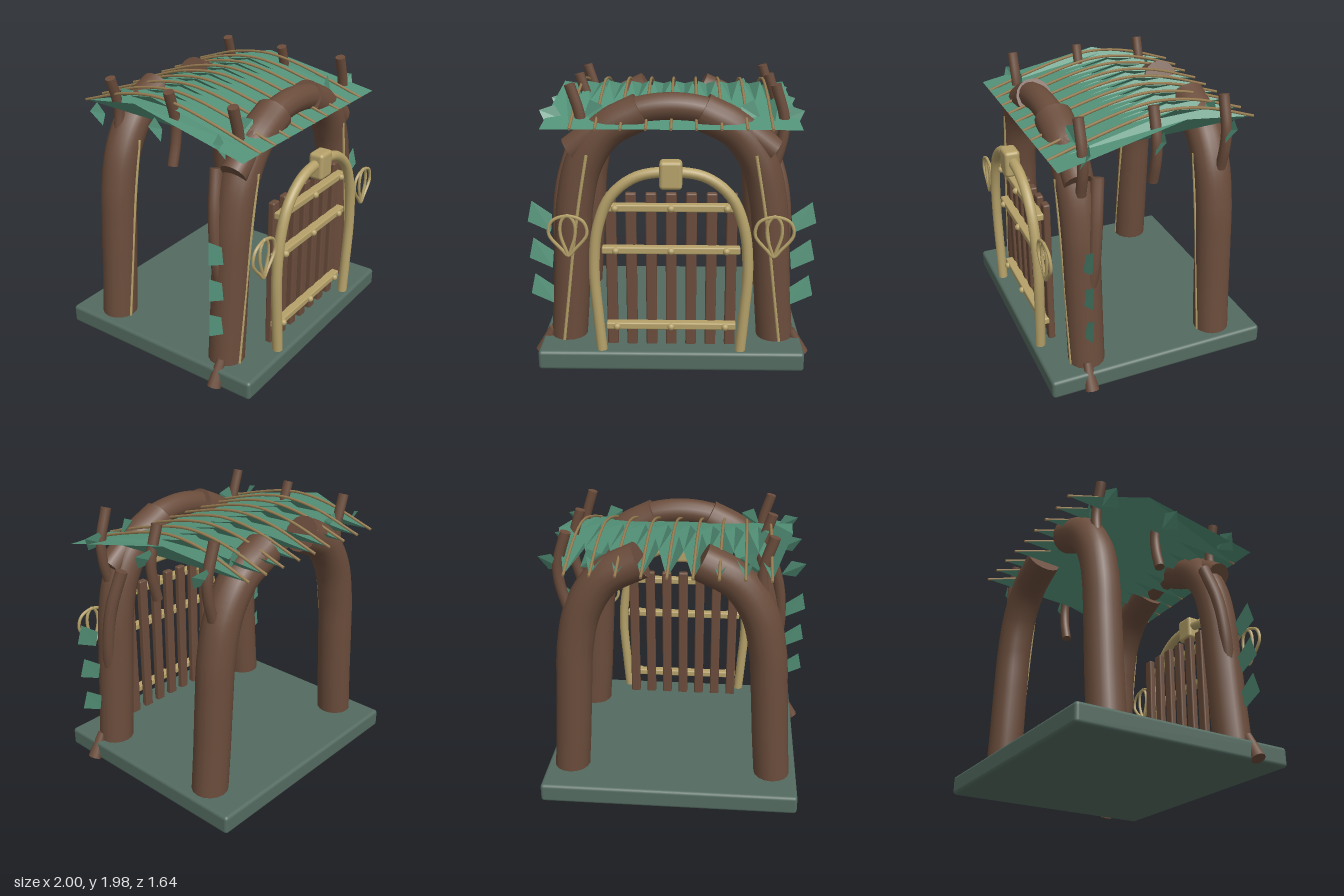
import * as THREE from 'three';
import { RoundedBoxGeometry } from 'three/addons/geometries/RoundedBoxGeometry.js';

const mat = (name, color, side = THREE.FrontSide) => {
  const m = new THREE.MeshStandardMaterial({ color, side });
  m.name = name;
  return m;
};

export function createModel() {
  const wood = mat('bark brown', 0x6a4c3b);
  const gold = mat('pale gold', 0xb5a169);
  const cane = mat('cane brown', 0x987d52);
  const stone = mat('grey green stone', 0x546b61);
  const leaf = mat('leaf green', 0x54937a, THREE.DoubleSide);
  const model = new THREE.Group();

  const add = (name, geo, m, x = 0, y = 0, z = 0) => {
    const mesh = new THREE.Mesh(geo, m);
    mesh.name = name;
    mesh.position.set(x, y, z);
    model.add(mesh);
    return mesh;
  };
  const V = (p) => new THREE.Vector3(...p);

  // Smooth tube through points, with flat caps on open ends
  const tube = (name, pts, r, m, sides = 10, segs = 24, closed = false) => {
    const curve = new THREE.CatmullRomCurve3(pts.map(V), closed, 'centripetal');
    const mesh = add(name, new THREE.TubeGeometry(curve, segs, r, sides, closed), m);
    if (!closed) for (const t of [0, 1]) {
      const cap = new THREE.Mesh(new THREE.CircleGeometry(r, sides), m);
      cap.name = name + 'End';
      const dir = curve.getTangentAt(t).multiplyScalar(t ? 1 : -1);
      cap.position.copy(curve.getPointAt(t));
      cap.quaternion.setFromUnitVectors(new THREE.Vector3(0, 0, 1), dir);
      mesh.add(cap);
    }
    return mesh;
  };

  // Thin surface from a fan of triangles
  const fan = (name, pts, tris) => {
    const geo = new THREE.BufferGeometry();
    geo.setAttribute('position', new THREE.Float32BufferAttribute(tris.flatMap((i) => pts[i]), 3));
    geo.computeVertexNormals();
    return add(name, geo, leaf);
  };

  // Base slab
  add('base', new RoundedBoxGeometry(1.85, 0.14, 1.64, 3, 0.025), stone, 0, 0.08, 0);

  // Four curved trunks with a gold vein on the front of each
  const trunk = [[0.745, 0.13], [0.72, 0.45], [0.695, 0.85], [0.67, 1.15], [0.6, 1.43], [0.45, 1.65], [0.2, 1.785]];
  const vein = [[0.765, 0.15], [0.72, 0.5], [0.68, 0.82], [0.63, 1.16], [0.567, 1.51]];
  for (const s of [-1, 1]) for (const z of [0.505, -0.5]) {
    tube('trunk', trunk.map(([x, y]) => [s * x, y, z]), 0.13, wood, 16, 40);
    tube('trunkVein', vein.map(([x, y]) => [s * x, y, z + 0.124]), 0.012, gold, 6);
  }

  // Log joining the front trunks
  tube('frontLintel', [[-0.69, 1.52, 0.52], [-0.5, 1.66, 0.52], [-0.26, 1.78, 0.52], [0, 1.82, 0.52],
    [0.26, 1.78, 0.52], [0.5, 1.66, 0.52], [0.69, 1.52, 0.52]], 0.094, wood, 14, 36);

  for (const s of [-1, 1]) {
    // Side branch and root on each front trunk
    tube('sideBranch', [[s * 0.77, 0.68, 0.49], [s * 0.795, 0.95, 0.46], [s * 0.77, 1.25, 0.43],
      [s * 0.69, 1.53, 0.385]], 0.045, wood);
    const root = add('root', new THREE.CylinderGeometry(0.03, 0.05, 0.2, 10), wood, s * 0.9, 0.11, 0.54);
    root.rotation.z = s * 0.45;

    // Leaves up the outside of the front trunks
    for (const y of [0.39, 0.66, 0.93]) {
      fan('trunkLeaf', [[s * 0.84, y + 0.01, 0.55], [s * 1.0, y + 0.085, 0.55],
        [s * 0.97, y + 0.23, 0.53], [s * 0.83, y + 0.13, 0.53]], [0, 1, 2, 0, 2, 3]);
    }

    // Heart shaped ornament of two teardrop loops
    for (const [w, top] of [[0.128, 1.125], [0.05, 1.13]]) {
      tube('ornamentLoop', [[0, 0.845], [0.35, 0.89], [1, 1.0], [0.8, 1.09], [0, top],
        [-0.8, 1.09], [-1, 1.0], [-0.35, 0.89]].map(([x, y]) => [s * 0.69 + x * w, y, 0.765]),
      0.012, gold, 6, 48, true);
    }

    // Leaf tufts beside the stakes
    for (const z of [0.51, 0, -0.51]) {
      fan('eaveLeaf', [[s * 0.73, 1.72, z - 0.02], [s * 0.83, 1.68, z + 0.05],
        [s * 0.89, 1.79, z], [s * 0.79, 1.82, z - 0.03]], [0, 1, 2, 0, 2, 3]);
      if (z) fan('innerLeaf', [[s * 0.6, 1.73, z - 0.02], [s * 0.5, 1.7, z + 0.04],
        [s * 0.46, 1.82, z], [s * 0.55, 1.86, z - 0.02]], [0, 1, 2, 0, 2, 3]);
    }
  }

  // Bent stakes, the same on both sides
  for (const dx of [0, -1.37]) for (const z of [0.51, 0, -0.51]) {
    tube('stake', [[0.71 + dx, 1.44, z], [0.75 + dx, 1.6, z], [0.755 + dx, 1.74, z], [0.69 + dx, 1.965, z]],
      0.037, wood);
  }

  // Roof: folded leaves, each under an arched rib
  for (let i = -4; i <= 4; i++) {
    const x = i * 0.166;
    fan('roofLeaf', [[x, 1.7, 0.71], [x + 0.195, 1.7, 0.71], [x + 0.148, 1.885, -0.18],
      [x, 1.76, -0.76], [x - 0.148, 1.885, -0.18], [x - 0.195, 1.7, 0.71]],
    [0, 1, 2, 0, 2, 3, 0, 3, 4, 0, 4, 5]);
    tube('roofRib', [[x, 1.7, 0.71], [x, 1.81, 0.36], [x, 1.885, 0.06], [x, 1.905, -0.14],
      [x, 1.87, -0.42], [x, 1.76, -0.77]], 0.01, cane, 6);
  }

  // Gate frame
  const half = [[0.48, 0.14], [0.5, 0.4], [0.52, 0.75], [0.49, 1.04], [0.4, 1.26], [0.23, 1.395]];
  tube('gateFrame', [...half.map(([x, y]) => [-x, y, 0.76]), [0, 1.43, 0.76],
    ...half.map(([x, y]) => [x, y, 0.76]).reverse()], 0.037, gold, 12, 72);
  add('gateKeystone', new RoundedBoxGeometry(0.15, 0.19, 0.11, 3, 0.025), gold, 0, 1.415, 0.765);

  // Gate slats, rails and studs
  for (let i = -3; i <= 3; i++) {
    add('gateSlat', new RoundedBoxGeometry(0.075, 1.12, 0.05, 2, 0.012), wood, i * 0.137, 0.7, 0.655);
  }
  for (const [y, w] of [[0.31, 0.9], [0.87, 0.94], [1.17, 0.88]]) {
    add('gateRail', new RoundedBoxGeometry(w, 0.05, 0.065, 2, 0.01), gold, 0, y, 0.703);
    for (const x of [-0.375, 0, 0.375]) {
      add('gateStud', new THREE.SphereGeometry(0.025, 12, 8), gold, x, y, 0.738);
    }
  }
  return model;
}
